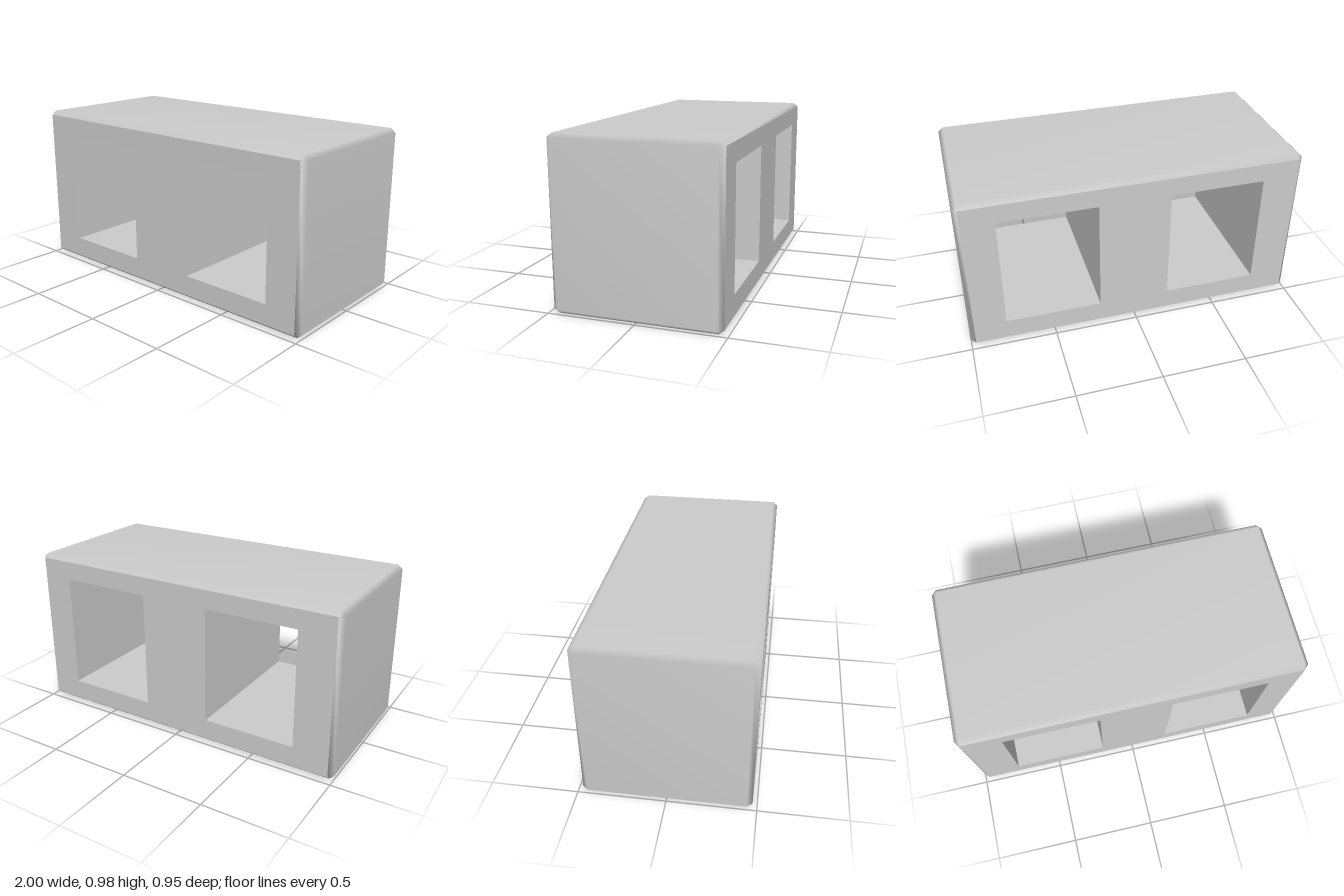
import * as THREE from 'three';
import { mergeVertices } from 'three/addons/utils/BufferGeometryUtils.js';

const X = 1, H = 0.975, Z = 0.475;       // half width, height, half depth
const BX = 0.027, BY = 0.024, BZ = 0.03; // edge bevels
const HOLES = [[-0.76, -0.2], [0.22, 0.785]];
const HOLE_Y = [0.145, 0.84];

// Counter-clockwise rectangle corners
const rect = (x0, x1, y0, y1) => [[x0, y0], [x1, y0], [x1, y1], [x0, y1]].map(p => new THREE.Vector2(...p));

// Joins closed rings [{ pts, z }] with quads; counter-clockwise rings face outwards
function loft(rings) {
  const n = rings[0].pts.length, pos = [], idx = [];
  for (const { pts, z } of rings) for (const p of pts) pos.push(p.x, p.y, z);
  for (let k = 0; k < rings.length - 1; k++) {
    for (let i = 0; i < n; i++) {
      const a = k * n + i, b = k * n + (i + 1) % n;
      idx.push(a, b, b + n, a, b + n, a + n);
    }
  }
  const g = new THREE.BufferGeometry();
  g.setAttribute('position', new THREE.Float32BufferAttribute(pos, 3));
  g.setIndex(idx);
  return g;
}

export function createModel() {
  const group = new THREE.Group();
  group.name = 'hollowBlock';
  const material = new THREE.MeshStandardMaterial({ color: 0xcccccc });
  const add = (name, geometry) => {
    const mesh = new THREE.Mesh(geometry, material);
    mesh.name = name;
    group.add(mesh);
    return mesh;
  };

  // Outer shell: octagonal body narrowing to a rectangle at each face
  const face = rect(-X + BX, X - BX, BY, H - BY);
  const endRing = face.flatMap(p => [p, p]);
  const bodyRing = face.flatMap((p, i) => {
    const side = new THREE.Vector2(Math.sign(p.x) * X, p.y);
    const level = new THREE.Vector2(p.x, p.y < H / 2 ? 0 : H);
    return i % 2 ? [level, side] : [side, level];
  });
  // Start each corner in counter-clockwise order
  const shell = mergeVertices(loft([
    { pts: endRing, z: -Z },
    { pts: bodyRing, z: -Z + BZ },
    { pts: bodyRing, z: Z - BZ },
    { pts: endRing, z: Z },
  ]));
  shell.computeVertexNormals();
  add('outerShell', shell);

  // Front and back faces with the two openings
  const holes = HOLES.map(([x0, x1]) => rect(x0, x1, ...HOLE_Y));
  const faceGeometry = mirror => {
    const flip = pts => pts.map(p => new THREE.Vector2(p.x * mirror, p.y));
    const shape = new THREE.Shape(flip(face));
    shape.holes = holes.map(h => new THREE.Path(flip(h)));
    return new THREE.ShapeGeometry(shape);
  };
  add('frontFace', faceGeometry(1)).position.z = Z;
  const back = add('backFace', faceGeometry(-1));
  back.position.z = -Z;
  back.rotation.y = Math.PI;

  // Inner walls of the through openings, facing inwards
  holes.forEach((h, i) => {
    const pts = [...h].reverse();
    const walls = loft([{ pts, z: -Z }, { pts, z: Z }]).toNonIndexed();
    walls.computeVertexNormals();
    add(i ? 'leftOpening' : 'rightOpening', walls);
  });

  return group;
}
